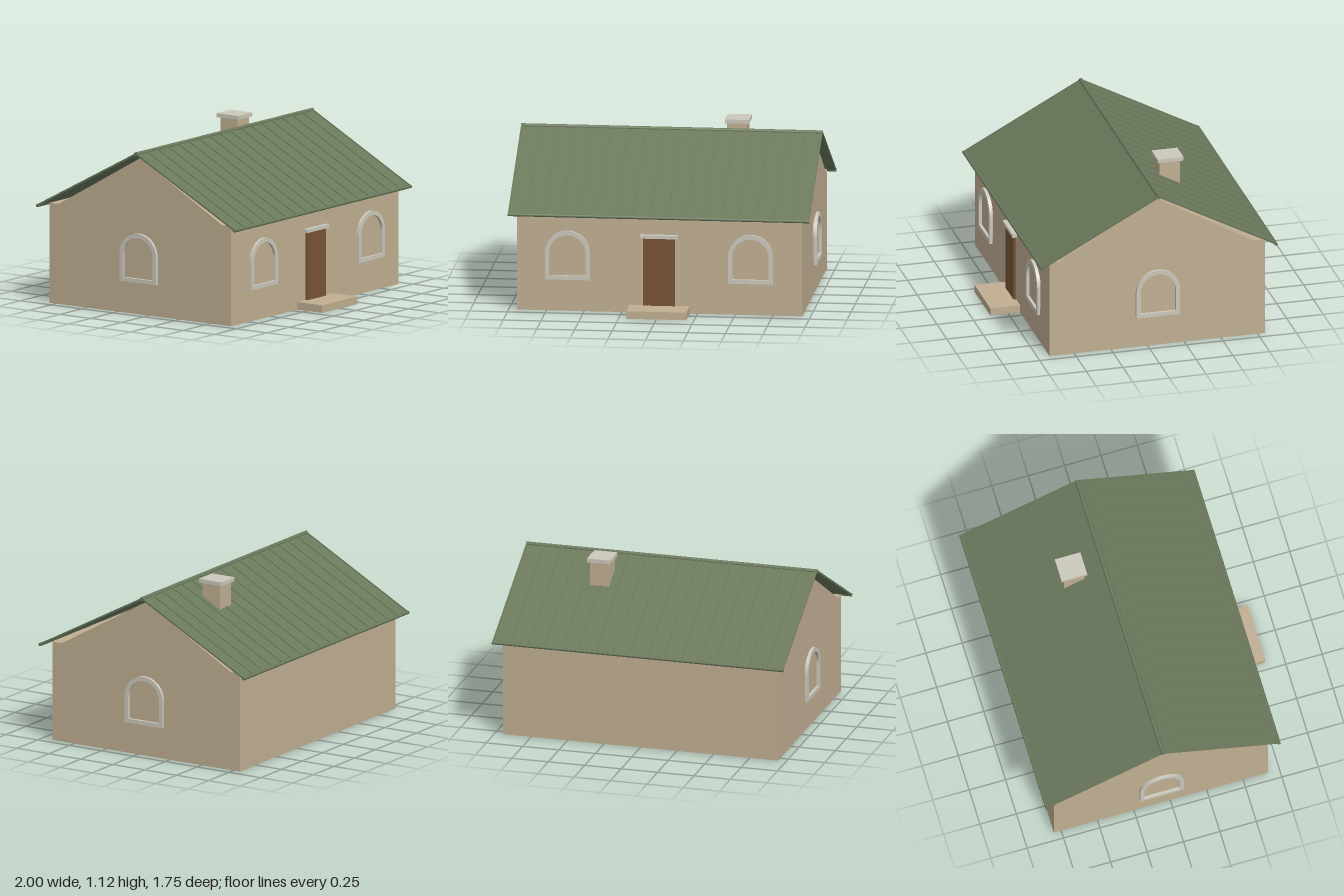
import * as THREE from 'three';

const mat = (name, color) => {
  const m = new THREE.MeshStandardMaterial({ color });
  m.name = name;
  return m;
};

export function createModel() {
  const house = new THREE.Group();
  house.name = 'house';
  const wall = mat('plaster', 0xc0ae92);
  const green = mat('roof green', 0x6a785b);
  const stone = mat('pale stone', 0xcbc8bc);
  const wood = mat('door brown', 0x785335);

  const add = (name, geometry, material, parent = house) => {
    const mesh = new THREE.Mesh(geometry, material);
    mesh.name = name;
    parent.add(mesh);
    return mesh;
  };
  // Box given by its lower and upper corners
  const box = (name, a, b, material, parent) => {
    const mesh = add(name, new THREE.BoxGeometry(b[0] - a[0], b[1] - a[1], b[2] - a[2]), material, parent);
    mesh.position.set((a[0] + b[0]) / 2, (a[1] + b[1]) / 2, (a[2] + b[2]) / 2);
    return mesh;
  };

  const ridgeZ = -0.065, ridgeY = 1.08, eaveY = 0.653, halfSpan = 0.797;

  // Body: side outline with shoulders and gable, extruded along x
  const outline = new THREE.Shape([
    [-0.67, 0], [0.8, 0], [0.8, 0.67], [0.727, 0.67], [-ridgeZ, 1.048], [-0.597, 0.67], [-0.67, 0.67],
  ].map(([x, y]) => new THREE.Vector2(x, y)));
  const body = new THREE.ExtrudeGeometry(outline, { depth: 1.89, bevelEnabled: false });
  body.translate(0, 0, -0.945);
  body.rotateY(Math.PI / 2);
  add('walls', body, wall);

  // Roof: two thin slopes with standing seams
  const slope = Math.hypot(halfSpan, ridgeY - eaveY);
  const angle = Math.atan2(ridgeY - eaveY, halfSpan);
  for (const side of [1, -1]) {
    const pitch = new THREE.Group();
    pitch.name = side > 0 ? 'frontRoof' : 'backRoof';
    pitch.position.set(0, (ridgeY + eaveY) / 2, ridgeZ + side * halfSpan / 2);
    pitch.rotation.x = side * angle;
    house.add(pitch);
    box('roofSheet', [-0.997, -0.004, -slope / 2], [0.997, 0.003, slope / 2], green, pitch);
    for (let i = 0; i <= 17; i++) {
      const x = -0.995 + i * 1.99 / 17;
      box('roofSeam', [x - 0.004, 0.002, -slope / 2], [x + 0.004, 0.008, slope / 2], green, pitch);
    }
  }

  // Ridge and eave rods
  const rod = (name, y, z, r) => {
    const g = new THREE.CylinderGeometry(r, r, 2, 12);
    g.rotateZ(Math.PI / 2);
    add(name, g, green).position.set(0, y, z);
  };
  rod('ridgeRod', ridgeY, ridgeZ, 0.014);
  rod('frontEaveRod', eaveY, ridgeZ + halfSpan, 0.011);
  rod('backEaveRod', eaveY, ridgeZ - halfSpan, 0.011);

  // Arched windows: stone frame around a plaster panel
  const arch = (Path, r, bottom) => {
    const p = new Path();
    p.moveTo(-r, bottom);
    p.lineTo(r, bottom);
    p.lineTo(r, 0.395);
    p.absarc(0, 0.395, r, 0, Math.PI, false);
    p.lineTo(-r, bottom);
    return p;
  };
  const extrude = (shape, depth) =>
    new THREE.ExtrudeGeometry(shape, { depth, bevelEnabled: false, curveSegments: 16 });
  const frameShape = arch(THREE.Shape, 0.149, 0.215);
  frameShape.holes.push(arch(THREE.Path, 0.12, 0.242));
  const frameGeo = extrude(frameShape, 0.02).translate(0, 0, 0.011);
  const panelGeo = extrude(arch(THREE.Shape, 0.121, 0.241), 0.015).translate(0, 0, -0.003);
  for (const [x, z, turn] of [
    [-0.608, 0.67, 0], [0.605, 0.67, 0], [0.945, ridgeZ, Math.PI / 2], [-0.945, ridgeZ, -Math.PI / 2],
  ]) {
    const win = new THREE.Group();
    win.name = 'window';
    win.position.set(x, 0, z);
    win.rotation.y = turn;
    house.add(win);
    add('windowFrame', frameGeo, stone, win);
    add('windowPanel', panelGeo, wall, win);
  }

  // Entrance
  box('door', [-0.107, 0.05, 0.66], [0.103, 0.505, 0.688], wood);
  box('lintel', [-0.128, 0.505, 0.66], [0.124, 0.528, 0.702], stone);
  box('doorstep', [-0.2, 0, 0.67], [0.2, 0.051, 0.873], wall);

  // Chimney
  box('chimneyStack', [0.35, 0.85, -0.345], [0.482, 1.098, -0.206], wall);
  box('chimneyCap', [0.336, 1.098, -0.366], [0.496, 1.124, -0.19], stone);

  return house;
}
